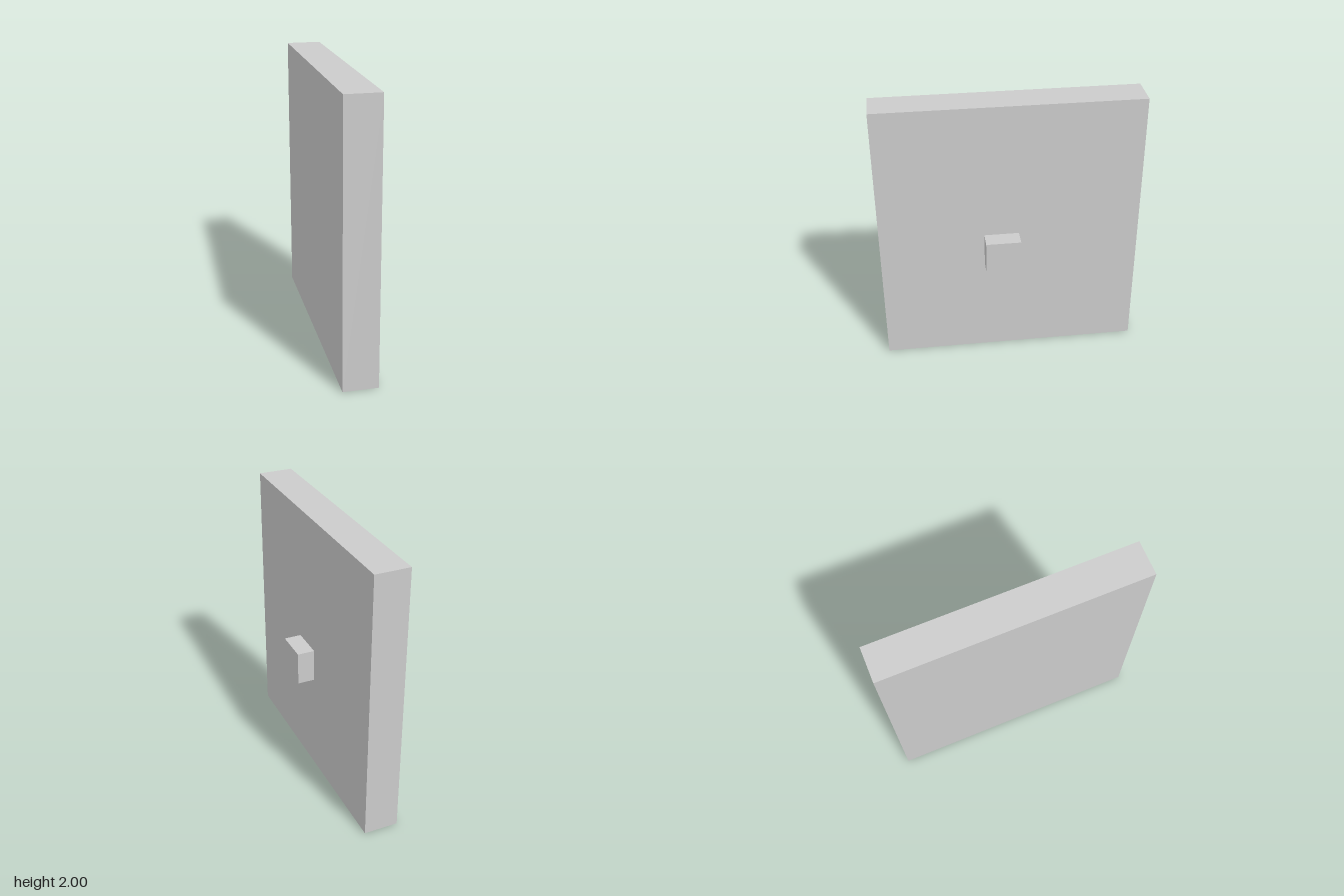
import * as THREE from 'three';

const material = new THREE.MeshStandardMaterial({ color: 0xcccccc, flatShading: true });

// Box given by its minimum and maximum corners
function addBox(group, name, min, max) {
  const size = max.map((v, i) => v - min[i]);
  const mesh = new THREE.Mesh(new THREE.BoxGeometry(...size), material);
  mesh.position.set(...max.map((v, i) => (v + min[i]) / 2));
  mesh.name = name;
  group.add(mesh);
}

export function createModel() {
  const group = new THREE.Group();
  group.name = 'door';

  // Upright slab
  addBox(group, 'doorPanel', [-0.1875, 0, -0.9375], [0.0625, 2, 0.9375]);

  // Small block handle on the left (+x) face
  addBox(group, 'doorKnob', [0.0625, 0.755, -0.0625], [0.1875, 1, 0.1875]);

  return group;
}
